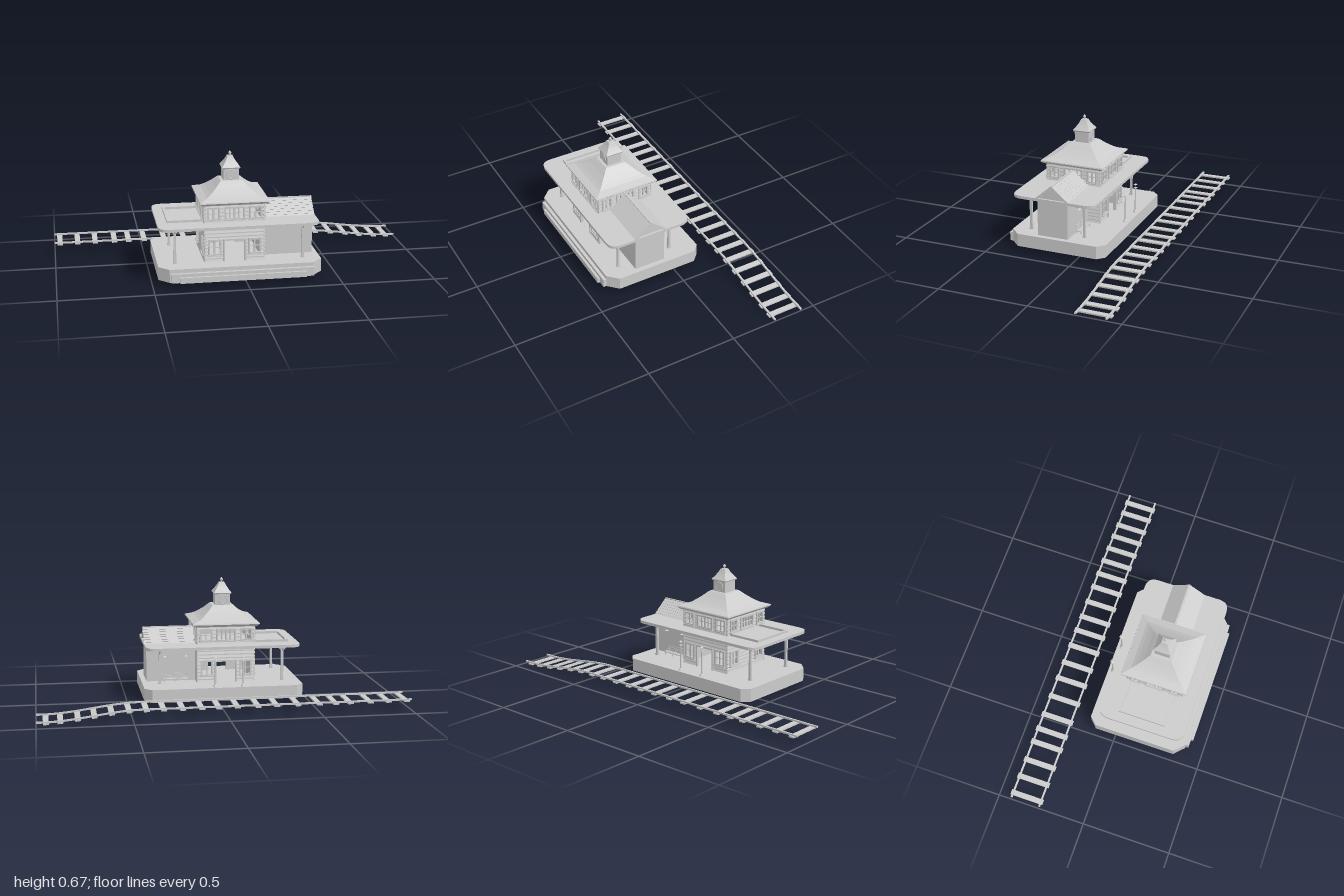
import * as THREE from 'three';

const mat = new THREE.MeshStandardMaterial({ color: 0xcccccc, flatShading: true });
const smoothMat = new THREE.MeshStandardMaterial({ color: 0xcccccc });

function add(parent, name, geo, x = 0, y = 0, z = 0, m = mat) {
  const mesh = new THREE.Mesh(geo, m);
  mesh.name = name;
  mesh.position.set(x, y, z);
  parent.add(mesh);
  return mesh;
}
const group = (parent, name, x = 0, y = 0, z = 0) => {
  const g = new THREE.Group();
  g.name = name;
  g.position.set(x, y, z);
  parent.add(g);
  return g;
};
// Box given by its min and max corners
function box(parent, name, x0, x1, y0, y1, z0, z1) {
  return add(parent, name, new THREE.BoxGeometry(x1 - x0, y1 - y0, z1 - z0), (x0 + x1) / 2, (y0 + y1) / 2, (z0 + z1) / 2);
}
function rect(path, x0, x1, y0, y1) {
  path.moveTo(x0, y0);
  path.lineTo(x1, y0);
  path.lineTo(x1, y1);
  path.lineTo(x0, y1);
  path.closePath();
  return path;
}
const extrude = (shape, depth) => new THREE.ExtrudeGeometry(shape, { depth, bevelEnabled: false, curveSegments: 5 });

// Horizontal slab with cut (or rounded) corners; back and front cuts may differ
function slab(parent, name, x0, x1, y0, y1, z0, z1, cutBack, cutFront, round) {
  const s = new THREE.Shape();
  const turn = (cx, cy, x, y) => (round ? s.quadraticCurveTo(cx, cy, x, y) : s.lineTo(x, y));
  const b = cutBack, f = cutFront;
  s.moveTo(x0 + f, -z1);
  s.lineTo(x1 - f, -z1); turn(x1, -z1, x1, -z1 + f);
  s.lineTo(x1, -z0 - b); turn(x1, -z0, x1 - b, -z0);
  s.lineTo(x0 + b, -z0); turn(x0, -z0, x0, -z0 - b);
  s.lineTo(x0, -z1 + f); turn(x0, -z1, x0 + f, -z1);
  return add(parent, name, extrude(s, y1 - y0).rotateX(-Math.PI / 2), 0, y0, 0);
}
// Square frustum with half widths at bottom and top
function frustum(parent, name, bottom, top, y0, y1) {
  const geo = new THREE.CylinderGeometry(top * Math.SQRT2, bottom * Math.SQRT2, y1 - y0, 4).rotateY(Math.PI / 4);
  return add(parent, name, geo, 0, (y0 + y1) / 2, 0);
}

// Wall with openings, clapboards split around them, and framed windows
function facade(parent, name, half, y0, y1, rows, openings) {
  const g = group(parent, name);
  const wall = rect(new THREE.Shape(), -half, half, y0, y1);
  for (const o of openings) wall.holes.push(rect(new THREE.Path(), o.u - o.w / 2, o.u + o.w / 2, o.y0, o.y1));
  add(g, 'wall', extrude(wall, 0.01), 0, 0, half - 0.01);
  const h = (y1 - y0) / rows;
  for (let r = 0; r < rows; r++) {
    const yc = y0 + (r + 0.5) * h;
    const cuts = openings.filter(o => yc > o.y0 && yc < o.y1).sort((a, b) => a.u - b.u);
    let left = -half - 0.003;
    for (const o of [...cuts, { u: half + 0.003, w: 0 }]) {
      const right = o.u - o.w / 2;
      const geo = new THREE.BoxGeometry(right - left, h, 0.008);
      const p = geo.attributes.position;
      for (let i = 0; i < p.count; i++) if (p.getY(i) > 0 && p.getZ(i) > 0) p.setZ(i, -0.003);
      add(g, 'clapboard', geo, (left + right) / 2, yc, half + 0.0005);
      left = o.u + o.w / 2;
    }
  }
  for (const o of openings) {
    const a = o.u - o.w / 2, b = o.u + o.w / 2, t = 0.007;
    const frame = rect(new THREE.Shape(), a - t, b + t, o.door ? o.y0 : o.y0 - t, o.y1 + t);
    frame.holes.push(rect(new THREE.Path(), a + 0.002, b - 0.002, o.door ? o.y0 + 0.0001 : o.y0 + 0.002, o.y1 - 0.002));
    add(g, o.door ? 'doorFrame' : 'windowFrame', extrude(frame, 0.014), 0, 0, half - 0.005);
    if (o.door) continue;
    box(g, 'windowSill', a - 0.01, b + 0.01, o.y0 - 0.01, o.y0 - 0.004, half, half + 0.014);
    for (let i = 1; i < o.panes; i++) {
      const u = a + (o.w * i) / o.panes, k = i * 2 === o.panes ? 0.004 : 0.0025;
      box(g, 'mullion', u - k, u + k, o.y0, o.y1, half - 0.004, half + 0.005);
    }
    const ym = (o.y0 + o.y1) / 2;
    box(g, 'glazingBar', a, b, ym - 0.002, ym + 0.002, half - 0.003, half + 0.004);
  }
  return g;
}

function buildTower(root) {
  const tower = group(root, 'stationHouse', -0.053, 0, 0.147);
  const half = 0.16;
  const low = [-1, 1].map(s => ({ u: s * 0.108, w: 0.056, y0: 0.14, y1: 0.215, panes: 2 }));
  const door = { u: 0, w: 0.11, y0: 0.097, y1: 0.215, door: true };
  const wide = { u: 0, w: 0.096, y0: 0.335, y1: 0.393, panes: 4 };
  const upper = w => [wide, ...[-1, 1].map(s => ({ u: s * 0.113, w, y0: 0.335, y1: 0.393, panes: 2 }))];
  // Order: front, +x, back, -x
  [[...low, door], [], [...low, door], low].forEach((openings, i) => {
    facade(tower, 'lowerWall', half, 0.097, 0.297, 10, openings).rotation.y = (i * Math.PI) / 2;
    facade(tower, 'upperWall', half, 0.3125, 0.413, 5, upper(i % 2 ? 0.044 : 0.056)).rotation.y = (i * Math.PI) / 2;
  });
  // Bell-shaped roof in stepped courses
  frustum(tower, 'eaves', 0.174, 0.187, 0.411, 0.424);
  frustum(tower, 'eavesEdge', 0.187, 0.185, 0.424, 0.43);
  const profile = [[0.185, 0.43], [0.143, 0.444], [0.122, 0.457], [0.104, 0.471], [0.087, 0.485], [0.073, 0.499], [0.058, 0.513]];
  for (let i = 0; i < profile.length - 1; i++) {
    const [a, ya] = profile[i], [b, yb] = profile[i + 1];
    frustum(tower, 'roofCourse', a + (i ? 0.002 : 0), b, ya - 0.001, yb);
  }
  // Cupola with clock faces, roof and finial
  frustum(tower, 'cupola', 0.042, 0.042, 0.51, 0.58);
  for (const s of [-1, 1]) {
    add(tower, 'clockFace', new THREE.CylinderGeometry(0.025, 0.025, 0.004, 24).rotateX(Math.PI / 2), 0, 0.543, s * 0.043);
    add(tower, 'clockRim', new THREE.TorusGeometry(0.025, 0.0025, 6, 24), 0, 0.543, s * 0.044, smoothMat);
    box(tower, 'minuteHand', -0.001, 0.001, 0.543, 0.562, s * 0.0455 - 0.001, s * 0.0455 + 0.001);
    box(tower, 'hourHand', 0, 0.013, 0.542, 0.544, s * 0.0455 - 0.001, s * 0.0455 + 0.001);
  }
  frustum(tower, 'cupolaEaves', 0.047, 0.05, 0.574, 0.581);
  const cap = [[0.05, 0.581], [0.038, 0.597], [0.028, 0.612], [0.021, 0.625], [0.015, 0.638]];
  for (let i = 0; i < 4; i++) frustum(tower, 'cupolaRoof', cap[i][0], cap[i + 1][0], cap[i][1], cap[i + 1][1]);
  const finial = [[0.007, 0.637], [0.004, 0.641], [0.009, 0.652], [0.007, 0.658], [0.004, 0.66], [0.0001, 0.667]];
  add(tower, 'finial', new THREE.LatheGeometry(finial.map(p => new THREE.Vector2(...p)), 10), 0, 0, 0, smoothMat);
}

function buildWing(root) {
  const wing = group(root, 'gabledWing', 0, 0, 0.147);
  const s = new THREE.Shape();
  [[-0.088, 0.097], [0.088, 0.097], [0.088, 0.302], [0, 0.38], [-0.088, 0.302]].forEach(([z, y], i) => (i ? s.lineTo(z, y) : s.moveTo(z, y)));
  add(wing, 'wingWalls', extrude(s, 0.275).rotateY(Math.PI / 2), 0.11, 0, 0);
  // Shingle courses on both slopes
  const slope = Math.atan2(0.082, 0.096), n = 7, len = Math.hypot(0.082, 0.096) / n;
  for (const side of [-1, 1]) for (let i = 0; i < n; i++) {
    const t = (i + 0.5) / n;
    const course = add(wing, 'shingleCourse', new THREE.BoxGeometry(0.285, 0.011, len + 0.002), 0.2535, 0.386 - 0.082 * t, side * 0.096 * t);
    course.rotation.x = side * (slope - 0.08);
  }
  box(wing, 'ridge', 0.111, 0.397, 0.386, 0.393, -0.005, 0.005);
}

function buildCanopy(root) {
  const canopy = group(root, 'canopy');
  slab(canopy, 'canopyRoof', -0.463, 0.397, 0.297, 0.3125, -0.098, 0.387, 0.06, 0.06, true);
  const rim = rect(new THREE.Shape(), -0.41, -0.2, -0.27, -0.005);
  rim.holes.push(rect(new THREE.Path(), -0.398, -0.2001, -0.258, -0.017));
  add(canopy, 'roofRim', extrude(rim, 0.013).rotateX(-Math.PI / 2), 0, 0.312, 0);
  for (const x of [-0.373, 0.318]) for (const z of [0.305, -0.01]) {
    const post = group(canopy, 'post', x, 0, z);
    box(post, 'shaft', -0.0065, 0.0065, 0.097, 0.298, -0.0065, 0.0065);
    box(post, 'plinth', -0.009, 0.009, 0.097, 0.107, -0.009, 0.009);
    for (let k = 0; k < 4; k++) {
      const arm = group(post, 'bracket');
      arm.rotation.y = (k * Math.PI) / 2;
      add(arm, 'brace', new THREE.BoxGeometry(0.006, 0.048, 0.006), 0, 0.281, 0.019).rotation.x = Math.PI / 4;
    }
  }
}

function buildPlatformItems(root) {
  // Lamp posts: open lantern between bowl and cap
  for (const x of [-0.13, 0.025]) {
    const lamp = group(root, 'lampPost', x, 0, -0.13);
    const body = [[0.013, 0.097], [0.013, 0.102], [0.007, 0.108], [0.004, 0.112], [0.0035, 0.237], [0.011, 0.244], [0.0001, 0.245]];
    add(lamp, 'lampColumn', new THREE.LatheGeometry(body.map(p => new THREE.Vector2(...p)), 12), 0, 0, 0, smoothMat);
    add(lamp, 'lampCap', new THREE.ConeGeometry(0.011, 0.008, 12), 0, 0.265, 0);
  }
  // Bench and wall lights behind the wing
  const bench = group(root, 'bench', 0.225, 0, 0.037);
  for (let i = 0; i < 3; i++) {
    box(bench, 'seatSlat', -0.07, 0.07, 0.112, 0.116, -0.017 + i * 0.01, -0.009 + i * 0.01);
    box(bench, 'backSlat', -0.07, 0.07, 0.121 + i * 0.009, 0.127 + i * 0.009, 0.011 + i * 0.002, 0.014 + i * 0.002);
  }
  for (const x of [-0.06, 0, 0.06]) {
    box(bench, 'frontLeg', x - 0.002, x + 0.002, 0.097, 0.113, -0.015, -0.011);
    box(bench, 'backLeg', x - 0.002, x + 0.002, 0.097, 0.146, 0.014, 0.018);
  }
  for (const x of [0.165, 0.285]) {
    add(root, 'wallLightShade', new THREE.ConeGeometry(0.012, 0.009, 12), x, 0.243, 0.035);
    box(root, 'wallLightArm', x - 0.0015, x + 0.0015, 0.246, 0.249, 0.035, 0.06);
  }
}

function buildTrack(root) {
  const track = group(root, 'track');
  const railTop = x => 0.064 - 0.048 * THREE.MathUtils.smoothstep(x, 0.45, 0.96);
  for (const z of [-0.42, -0.257]) {
    const geo = new THREE.BoxGeometry(2, 0.009, 0.01, 60, 1, 1);
    const p = geo.attributes.position;
    for (let i = 0; i < p.count; i++) p.setY(i, p.getY(i) + railTop(p.getX(i)) - 0.0045);
    add(track, 'rail', geo, 0, 0, z);
  }
  const ties = [-0.97, -0.87, -0.77, -0.66, -0.58, -0.49, -0.375, -0.26, -0.16, -0.05, 0.05, 0.14, 0.24, 0.34, 0.43, 0.52, 0.61, 0.7, 0.785, 0.875, 0.95];
  for (const x of ties) {
    const tie = add(track, 'tie', new THREE.BoxGeometry(0.03, 0.008, 0.188), x, railTop(x) - 0.012, -0.339);
    tie.rotation.z = Math.atan((railTop(x + 0.01) - railTop(x - 0.01)) / 0.02);
  }
}

export function createModel() {
  const root = new THREE.Group();
  root.name = 'railwayStation';
  slab(root, 'platform', -0.467, 0.413, 0.025, 0.097, -0.157, 0.4, 0.04, 0.055, false);
  box(root, 'upperStep', -0.405, 0.36, 0.027, 0.076, 0.39, 0.417);
  box(root, 'lowerStep', -0.36, 0.317, 0.027, 0.058, 0.39, 0.43);
  buildTower(root);
  buildWing(root);
  buildCanopy(root);
  buildPlatformItems(root);
  buildTrack(root);
  return root;
}
